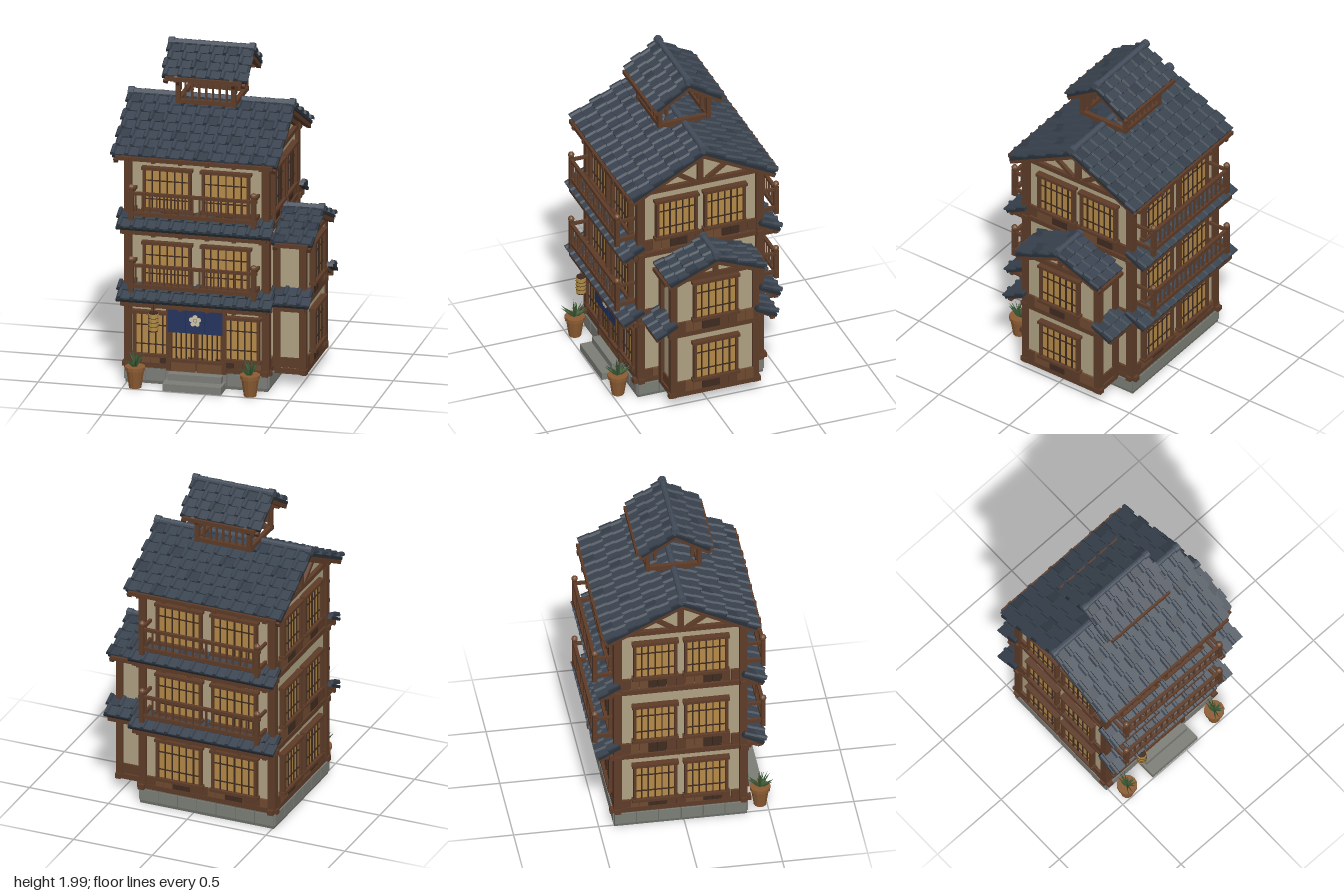
import * as THREE from 'three';
import { mergeGeometries } from 'three/addons/utils/BufferGeometryUtils.js';

const mat = (color) => new THREE.MeshStandardMaterial({ color, flatShading: true });
const WOOD = mat(0x5e3c28), DARK = mat(0x3f2b20), MID = mat(0x6f4a30), WALL = mat(0xafa283), PAPER = mat(0xb58a48);
const TILE = mat(0x39434f), TILE2 = mat(0x333c48), RIDGE = mat(0x424c59), DECK = mat(0x2a313a);
const STONE = mat(0x7c7e77), STONE2 = mat(0x6a6c66), CLOTH = mat(0x24345f), CREAM = mat(0xd2c6a8);
const BRASS = mat(0xb08c45), POT = mat(0x8c5c33), LEAF = mat(0x3c5a35);

const box = (w, h, d, x = 0, y = 0, z = 0) => new THREE.BoxGeometry(w, h, d).translate(x, y, z);
const cyl = (r1, r2, h, n, x = 0, y = 0, z = 0) => new THREE.CylinderGeometry(r1, r2, h, n).translate(x, y, z);
const range = (n, f) => Array.from({ length: n }, (_, i) => f(i));
// square bar in the yz plane, from (y1, z1) to (y2, z2)
const bar = (t, x, y1, z1, y2, z2) => box(t, t, Math.hypot(y2 - y1, z2 - z1))
  .rotateX(-Math.atan2(y2 - y1, z2 - z1)).translate(x, (y1 + y2) / 2, (z1 + z2) / 2);

function add(parent, name, material, geoms) {
  const mesh = new THREE.Mesh(mergeGeometries(geoms.map((g) => (g.index ? g.toNonIndexed() : g))), material);
  mesh.name = name;
  parent.add(mesh);
  return mesh;
}
function group(parent, name, x = 0, y = 0, z = 0, ry = 0) {
  const g = new THREE.Group();
  g.name = name;
  g.position.set(x, y, z);
  g.rotation.y = ry;
  if (parent) parent.add(g);
  return g;
}

// Lattice window facing +z, centred on its origin
function latticeWindow(parent, x, y, z, ry, w = 0.25, h = 0.25, bars = 5) {
  const g = group(parent, 'window', x, y, z, ry);
  add(g, 'paperPane', PAPER, [box(w, h, 0.02, 0, 0, 0.005)]);
  add(g, 'windowFrame', WOOD, [
    ...[-1, 1].map((s) => box(0.016, h, 0.036, s * w / 2, 0, 0.016)),
    ...[-1, 1].map((s) => box(w + 0.035, 0.018, 0.042, 0, s * h / 2, 0.018))]);
  add(g, 'lattice', DARK, [
    ...range(bars, (i) => box(0.007, h, 0.012, ((i + 1) / (bars + 1) - 0.5) * w, 0, 0.016)),
    ...[0.2, -0.25].map((f) => box(w, 0.006, 0.01, 0, f * h, 0.016))]);
}

// Row of planks facing +z in mixed browns
function wainscot(parent, x, y, z, ry, w, h) {
  const g = group(parent, 'wainscot', x, y, z, ry), n = Math.max(2, Math.round(w / 0.055)), p = w / n;
  [WOOD, DARK, MID].forEach((m, k) => {
    const planks = range(n, (i) => i).filter((i) => (i * 5 + (i >> 1)) % 3 === k);
    if (planks.length) add(g, 'planks', m, planks.map((i) => box(p - 0.003, h, 0.02, (i + 0.5) * p - w / 2, 0, 0)));
  });
}

// Tiled plane falling from its origin toward +z, with rafters and an eave beam
function roofSlope(parent, x, y, z, ry, w, run, rise, rows, beamZ, beamY) {
  const g = group(parent, 'roofSlope', x, y, z, ry), a = Math.atan2(rise, run), len = Math.hypot(run, rise);
  const cols = Math.max(2, Math.round(w / 0.08)), cw = w / cols, rl = len / rows;
  const profile = new THREE.Shape([[0, 0], [1, 0], [1, 0.01], [0.35, 0.01], [0.27, 0.023], [0.09, 0.023], [0, 0.012]]
    .map(([u, v]) => new THREE.Vector2(u * cw, v)));
  const tile = new THREE.ExtrudeGeometry(profile, { depth: rl * 1.08, bevelEnabled: false }).rotateX(-0.1);
  const shades = [[], []];
  for (let r = 0; r < rows; r++) for (let c = 0; c < cols; c++) {
    const jog = (r % 2 ? 0.1 : -0.1) * cw;
    shades[(r * 7 + c * 5 + r * c) % 4 ? 0 : 1].push(tile.clone()
      .translate(c * cw - w / 2 + jog, 0, r * rl).rotateX(a));
  }
  add(g, 'tiles', TILE, shades[0]);
  add(g, 'tiles', TILE2, shades[1]);
  add(g, 'roofDeck', DECK, [box(w, 0.018, len, 0, -0.009, len / 2).rotateX(a)]);
  const n = Math.round(w / 0.075);
  add(g, 'rafters', WOOD, range(n, (i) => box(0.016, 0.02, len * 0.98, ((i + 0.5) / n - 0.5) * w, -0.028, len * 0.5).rotateX(a)));
  add(g, 'eaveBeam', WOOD, [box(w - 0.05, 0.024, 0.024, 0, -rise + beamY, run + beamZ)]);
}

// Two slopes, ridge cap and rake boards; ridge runs along x
function gableRoof(parent, name, x, y, w, run, rise, rows, r) {
  const g = group(parent, name, x, y, 0);
  [0, Math.PI].forEach((ry) => roofSlope(g, 0, 0, 0, ry, w, run, rise, rows, 0.012, -0.008));
  const n = Math.round(w / 0.09), p = w / n;
  add(g, 'ridgeCap', RIDGE, [
    ...range(n, (i) => cyl(r, r * 0.86, p, 10).rotateZ(Math.PI / 2).translate((i + 0.5) * p - w / 2, 0.018, 0)),
    ...[-1, 1].map((s) => cyl(r * 1.3, r * 1.3, 0.035, 10).rotateZ(Math.PI / 2).translate(s * (w / 2 - 0.012), 0.018, 0))]);
  add(g, 'rakeBoards', WOOD, [-1, 1].flatMap((sx) => [-1, 1].map((sz) =>
    bar(0.026, sx * (w / 2 - 0.022), -0.034, 0, -rise - 0.034, sz * run))));
}

function gableWall(parent, x, hd, y0, eave, peak, t) {
  const s = new THREE.Shape([[-hd, y0], [hd, y0], [hd, eave], [0, peak], [-hd, eave]].map((p) => new THREE.Vector2(...p)));
  add(parent, 'gableWall', WALL, [new THREE.ExtrudeGeometry(s, { depth: t, bevelEnabled: false })
    .translate(0, 0, -t / 2).rotateY(Math.PI / 2).translate(x, 0, 0)]);
}

// Balcony railing standing on +z side
function balcony(parent, y, ry) {
  const g = group(parent, 'balcony', 0, y, 0, ry);
  add(g, 'railing', WOOD, [
    box(0.77, 0.018, 0.02, 0, 0.165, 0.495), box(0.77, 0.024, 0.02, 0, 0.04, 0.495),
    ...[-1, 1].flatMap((s) => [box(0.026, 0.19, 0.026, s * 0.365, 0.095, 0.495),
      box(0.016, 0.018, 0.13, s * 0.365, 0.165, 0.435), box(0.016, 0.024, 0.13, s * 0.365, 0.04, 0.435)]),
    ...range(17, (i) => box(0.009, 0.12, 0.01, (i - 8) * 0.0425, 0.1, 0.495))]);
  add(g, 'postKnobs', MID, [-1, 1].map((s) => new THREE.SphereGeometry(0.019, 10, 8).translate(s * 0.365, 0.2, 0.495)));
}

function pottedPlant(parent, x, z) {
  const g = group(parent, 'pottedPlant', x, 0, z);
  add(g, 'pot', POT, [cyl(0.054, 0.037, 0.11, 12, 0, 0.055, 0), cyl(0.06, 0.06, 0.022, 12, 0, 0.118, 0)]);
  add(g, 'leaves', LEAF, range(16, (i) => new THREE.ConeGeometry(0.014, 0.1, 4).scale(1, 1, 0.4).translate(0, 0.05, 0)
    .rotateZ(0.15 + (i % 4) * 0.26).rotateY(i * 2.4).translate(0, 0.125, 0)));
}

export function createModel() {
  const root = group(null, 'townhouse');
  const house = group(root, 'mainHouse', -0.085, 0, -0.02), hw = 0.41, hd = 0.37;

  // Stone footing with a course of blocks, and the entrance steps
  add(house, 'footing', STONE2, [box(0.85, 0.095, 0.78, 0, 0.0475, 0)]);
  add(house, 'footingBlocks', STONE, [-1, 1].flatMap((s) => [
    ...range(7, (i) => box(0.117, 0.07, 0.012, (i - 3) * 0.122, 0.055, s * 0.39)),
    ...range(6, (i) => box(0.012, 0.07, 0.124, s * 0.427, 0.055, (i - 2.5) * 0.13))]));
  add(house, 'entranceSteps', STONE, [box(0.35, 0.045, 0.13, 0, 0.0225, 0.45), box(0.32, 0.04, 0.07, 0, 0.065, 0.41)]);

  // Plaster body, corner posts and floor beams
  add(house, 'plasterWalls', WALL, [box(2 * hw, 1.3, 2 * hd, 0, 0.75, 0)]);
  add(house, 'cornerPosts', WOOD, [-1, 1].flatMap((sx) => [-1, 1].map((sz) => box(0.046, 1.3, 0.046, sx * hw, 0.75, sz * hd))));
  add(house, 'floorBeams', WOOD, [0.11, 0.495, 0.96, 1.385].flatMap((y) => [-1, 1].flatMap((s) => [
    box(2 * hw + 0.07, 0.03, 0.036, 0, y, s * hd), box(0.036, 0.03, 2 * hd + 0.09, s * hw, y, 0)])));
  add(house, 'outriggers', WOOD, [0.485, 0.925, 1.375].flatMap((y) => [-1, 1].flatMap((s) =>
    range(6, (i) => box(0.024, 0.024, 0.11, (i - 2.5) * 0.16, y + 0.008, s * 0.42)))));

  // Windows and wainscot, storey by storey
  [[0.305, 0.14], [0.735, 0.55], [1.19, 1.02]].forEach(([y, py], f) => {
    [0, Math.PI].forEach((ry, back) => {
      const s = back ? -1 : 1;
      if (f || back) [-1, 1].forEach((k) => latticeWindow(house, k * 0.175, y, s * hd, ry, 0.27));
      wainscot(house, 0, py, s * (hd + 0.005), ry, 0.77, 0.07);
    });
    [-1, 1].forEach((s) => {
      if (s < 0 || f === 2) [-1, 1].forEach((k) => latticeWindow(house, s * hw, y, k * 0.15, s * Math.PI / 2, 0.24));
      wainscot(house, s * (hw + 0.005), py, 0, s * Math.PI / 2, 0.7, 0.07);
    });
  });

  // Shopfront: side lattices, sliding doors, hanging cloth and lantern
  [-1, 1].forEach((k) => {
    latticeWindow(house, k * 0.265, 0.305, hd, 0, 0.205, 0.26, 4);
    latticeWindow(house, k * 0.078, 0.305, hd, 0, 0.15, 0.3, 4);
  });
  add(house, 'doorPanels', MID, [-1, 1].map((k) => box(0.145, 0.075, 0.03, k * 0.078, 0.125, hd + 0.012)));
  add(house, 'doorPosts', WOOD, [-1, 1].map((k) => box(0.026, 0.4, 0.05, k * 0.165, 0.29, hd + 0.01)));
  add(house, 'clothRod', WOOD, [box(0.36, 0.014, 0.014, 0, 0.49, 0.425)]);
  add(house, 'hangingCloth', CLOTH, range(3, (i) => box(0.107, 0.155, 0.006, (i - 1) * 0.11, 0.412, 0.425)));
  add(house, 'clothFlower', CREAM, range(6, (i) => cyl(i < 5 ? 0.014 : 0.008, i < 5 ? 0.014 : 0.008, 0.004, 10).rotateX(Math.PI / 2)
    .translate(i < 5 ? 0.023 * Math.sin(i * 1.2566) : 0, 0.413 + (i < 5 ? 0.023 * Math.cos(i * 1.2566) : 0), 0.43)));
  const lantern = group(house, 'lantern', -0.235, 0.41, 0.485);
  add(lantern, 'lanternBody', BRASS, [cyl(0.03, 0.03, 0.1, 12)]);
  add(lantern, 'lanternRings', DARK, [...[-0.052, 0.052].map((y) => cyl(0.026, 0.026, 0.012, 12, 0, y, 0)),
    ...[-0.025, 0, 0.025].map((y) => cyl(0.031, 0.031, 0.003, 12, 0, y, 0)), box(0.006, 0.05, 0.006, 0, 0.08, 0)]);
  [-0.43, 0.255].forEach((x) => pottedPlant(root, x, 0.46));

  // Skirt roofs and balconies, front and back
  [0, Math.PI].forEach((ry) => {
    const s = ry ? -1 : 1;
    [0.6, 1.04].forEach((y) => {
      roofSlope(house, 0, y, s * 0.365, ry, 0.92, 0.125, 0.068, 2, -0.02, -0.028);
      balcony(house, y - 0.015, ry);
    });
  });

  // Main roof with timbered gables
  gableRoof(house, 'mainRoof', 0, 1.628, 0.985, 0.445, 0.232, 7, 0.021);
  [-1, 1].forEach((s) => {
    const x = s * (hw + 0.01);
    gableWall(house, s * (hw - 0.015), hd, 1.38, 1.405, 1.59, 0.03);
    add(house, 'gableTruss', WOOD, [box(0.03, 0.028, 0.92, x, 1.39, 0), box(0.03, 0.2, 0.034, x, 1.49, 0),
      ...[-1, 1].flatMap((k) => [bar(0.024, x, 1.4, k * 0.04, 1.49, k * 0.17), bar(0.026, x, 1.58, 0, 1.39, k * 0.36)])]);
  });

  // Open roof lantern on the ridge
  const cupola = group(house, 'cupola');
  add(cupola, 'cupolaFrame', WOOD, [-1, 1].flatMap((s) => [
    box(0.36, 0.026, 0.026, 0, 1.66, s * 0.15), box(0.026, 0.026, 0.33, s * 0.165, 1.66, 0),
    box(0.44, 0.022, 0.022, 0, 1.805, s * 0.155), box(0.022, 0.02, 0.13, s * 0.165, 1.805, 0.165),
    box(0.022, 0.02, 0.13, s * 0.165, 1.805, -0.165),
    ...[-1, 1].flatMap((k) => [box(0.026, 0.2, 0.026, k * 0.165, 1.745, s * 0.152),
      bar(0.02, k * 0.165, 1.76, s * 0.155, 1.83, s * 0.215),
      bar(0.022, k * 0.15, 1.65, s * 0.12, 1.59, 0), box(0.018, 0.11, 0.018, k * 0.165, 1.77, s * 0.11)]),
    ...range(7, (i) => box(0.011, 0.14, 0.011, (i - 3) * 0.041, 1.735, s * 0.152))]));
  gableRoof(cupola, 'cupolaRoof', 0, 1.952, 0.505, 0.205, 0.132, 4, 0.019);

  // Two-storey side wing
  const wing = group(root, 'sideWing', 0, 0, -0.036), wd = 0.255, wx = 0.525;
  add(wing, 'wingWalls', WALL, [box(0.2, 0.79, 2 * wd, 0.425, 0.48, 0)]);
  add(wing, 'wingPosts', WOOD, [-1, 1].flatMap((s) => [0.36, 0.515].map((x) => box(0.04, 0.8, 0.04, x, 0.48, s * wd))));
  add(wing, 'wingBeams', WOOD, [0.09, 0.495, 0.868].flatMap((y) => [
    box(0.034, 0.032, 2 * wd + 0.06, wx - 0.005, y, 0), ...[-1, 1].map((s) => box(0.21, 0.032, 0.034, 0.435, y, s * wd))]));
  add(wing, 'wingSkirting', WOOD, [-1, 1].map((s) => box(0.18, 0.06, 0.02, 0.43, 0.14, s * wd)));
  [[0.305, 0.14], [0.715, 0.545]].forEach(([y, py]) => {
    latticeWindow(wing, wx, y, 0, Math.PI / 2, 0.26);
    wainscot(wing, wx + 0.003, py, 0, Math.PI / 2, 0.48, 0.07);
  });
  [0, Math.PI].forEach((ry) => roofSlope(wing, 0.455, 0.59, (ry ? -1 : 1) * 0.25, ry, 0.235, 0.125, 0.065, 2, -0.02, -0.028));
  gableWall(wing, wx - 0.01, wd, 0.86, 0.88, 0.965, 0.03);
  add(wing, 'wingTruss', WOOD, [box(0.026, 0.09, 0.03, wx + 0.01, 0.925, 0), box(0.03, 0.024, 0.58, wx + 0.005, 0.878, 0)]);
  gableRoof(wing, 'wingRoof', 0.455, 0.998, 0.245, 0.295, 0.122, 5, 0.019);

  return root;
}
